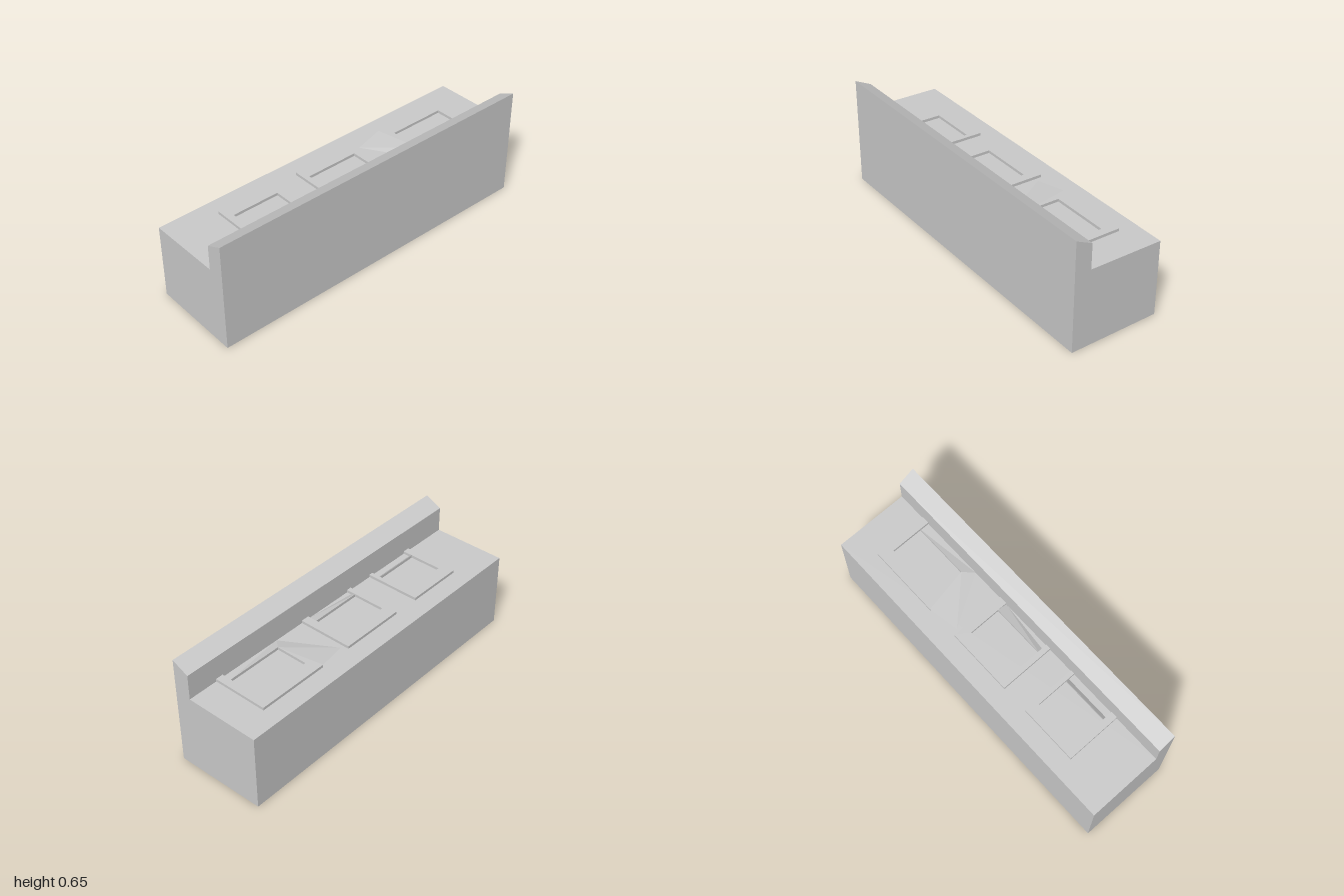
import * as THREE from 'three';

const material = new THREE.MeshStandardMaterial({ color: 0xcccccc, flatShading: true, side: THREE.DoubleSide });
const WALL = 0.168, RIM = 0.11, THICK = 0.016;

// height of the gently sloping counter at a given x
const counterY = (x) => 0.4485 + 0.0208 * x;

function makeMesh(name, geometry) {
  const mesh = new THREE.Mesh(geometry, material);
  mesh.name = name;
  return mesh;
}

// raise an [x, z] outline into a slab lying on the counter;
// drop(x) tells which top corners come down to counter level
function slab(name, outline, drop = () => false) {
  const shape = new THREE.Shape(outline.map(([x, z]) => new THREE.Vector2(x, -z)));
  const geometry = new THREE.ExtrudeGeometry(shape, { depth: 1, bevelEnabled: false });
  geometry.rotateX(-Math.PI / 2);
  const p = geometry.attributes.position;
  for (let i = 0; i < p.count; i++) {
    const x = p.getX(i);
    const lift = p.getY(i) < 0.5 ? -0.004 : drop(x) ? 0.0005 : THICK;
    p.setY(i, counterY(x) + lift);
  }
  geometry.computeVertexNormals();
  return makeMesh(name, geometry);
}

export function createModel() {
  const model = new THREE.Group();
  model.name = 'counter';

  // solid counter with a raised, slanted back ledge
  const profile = [[-0.265, 0], [0.265, 0], [0.265, 0.648], [WALL, 0.6], [WALL, counterY(WALL)], [-0.265, 0.443]];
  const body = new THREE.ExtrudeGeometry(
    new THREE.Shape(profile.map(([x, y]) => new THREE.Vector2(x, y))),
    { depth: 2, bevelEnabled: false });
  body.translate(0, 0, -1);
  model.add(makeMesh('counterBody', body));

  // three raised frames: outer z range, opening z range, foot of the rear ramp at both ends
  const frames = [
    { outer: [-0.82, -0.385], hole: [-0.775, -0.435], foot: [[WALL, -0.385]], cut: true },
    { outer: [-0.19, 0.205], hole: [-0.14, 0.175], foot: [[WALL, -0.14], [0.14, 0.175]] },
    { outer: [0.365, 0.71], hole: [0.39, 0.67], foot: [[0.13, 0.39], [0.13, 0.67]] },
  ];
  for (const { outer: [z0, z1], hole: [h0, h1], foot, cut } of frames) {
    const group = new THREE.Group();
    group.name = 'raisedFrame';
    // the first frame narrows to the corner of its opening
    const end = cut ? [[RIM, h1]] : [[WALL, z1], [WALL, h1]];
    group.add(slab('frameBorder', [
      [WALL, z0], [-0.155, z0], [-0.155, z1], ...end,
      [-0.08, h1], [-0.08, h0], [WALL, h0],
    ]));
    // sloping strip behind the opening
    group.add(slab('rearRamp', [[RIM, h0], ...foot, [RIM, h1]], (x) => x > RIM + 0.005));
    model.add(group);
  }

  // folded ramp running from the first frame down to the counter
  const ramp = [[-0.155, -0.385, THICK], [-0.12, -0.21, 0.0005], [WALL, -0.385, 0.0005], [RIM, -0.435, THICK]];
  const flap = new THREE.BufferGeometry().setFromPoints(
    [0, 1, 3, 1, 2, 3].map((i) => new THREE.Vector3(ramp[i][0], counterY(ramp[i][0]) + ramp[i][2], ramp[i][1])));
  flap.computeVertexNormals();
  model.add(makeMesh('foldedRamp', flap));

  return model;
}
